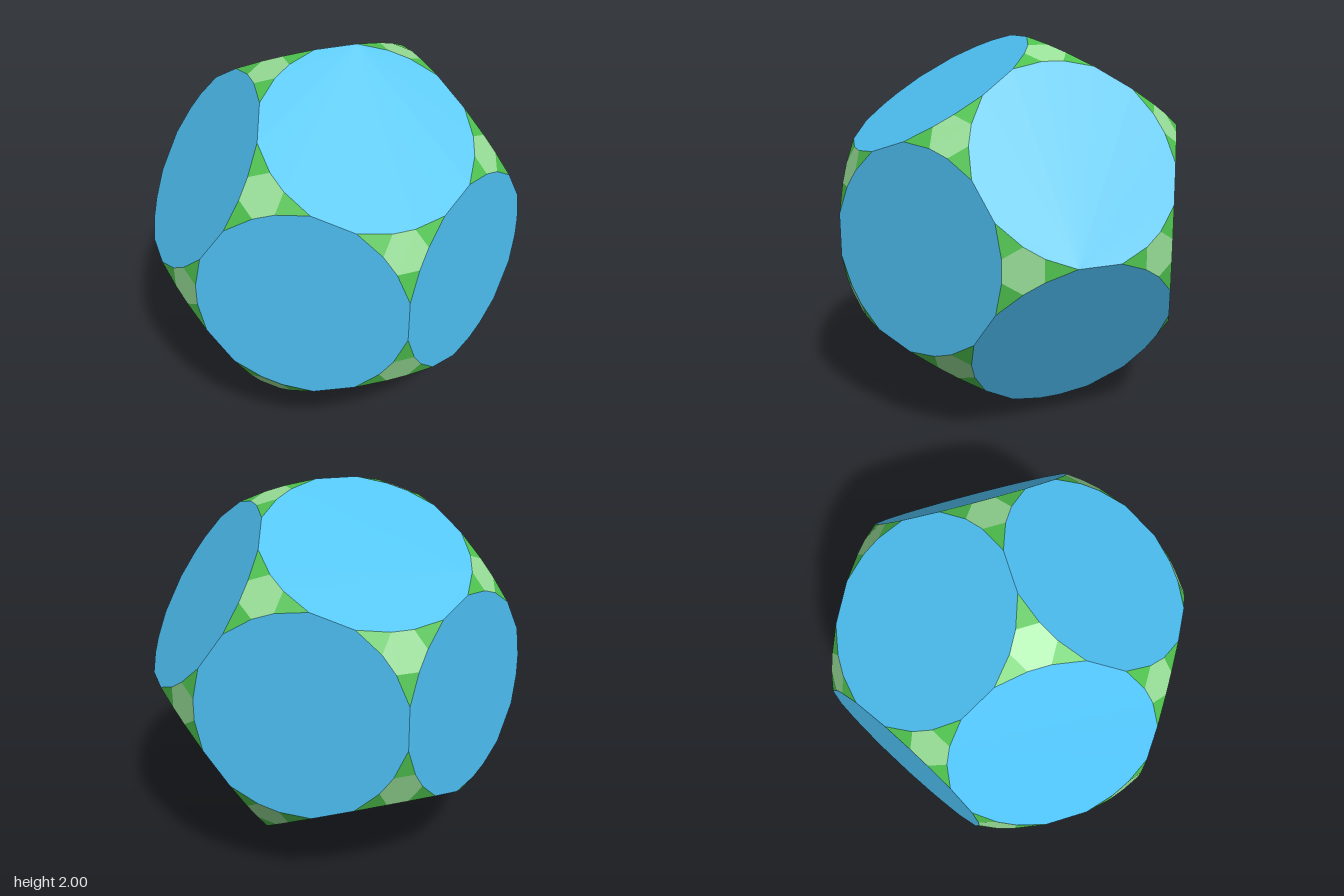
import * as THREE from 'three';

const PHI = (1 + Math.sqrt(5)) / 2;
const PLANE = PHI / Math.sqrt(1 + PHI * PHI); // distance of the large faces from the centre
const EDGE_HALF = 0.112;                      // half the edge shared by two large faces
const HEX_SIDE = 0.1132;
const HEX_APOTHEM = HEX_SIDE * Math.sqrt(3) / 2;

// All sign changes and cyclic permutations of (0, a, b), as unit vectors
function cyclic(a, b) {
  const out = [];
  for (const s of [1, -1]) for (const t of [1, -1]) {
    const p = [0, a * s, b * t];
    for (let k = 0; k < 3; k++) {
      out.push(new THREE.Vector3(p[k], p[(k + 1) % 3], p[(k + 2) % 3]).normalize());
    }
  }
  return out;
}

// Adds a convex polygon as a fan, ordered counter-clockwise about its outward normal
function addPolygon(target, points, normal) {
  const centre = new THREE.Vector3();
  points.forEach(p => centre.addScaledVector(p, 1 / points.length));
  const u = points[0].clone().sub(centre).projectOnPlane(normal).normalize();
  const w = normal.clone().cross(u);
  const angle = p => {
    const d = p.clone().sub(centre);
    return Math.atan2(d.dot(w), d.dot(u));
  };
  const ring = points.map(p => ({ p, a: angle(p) })).sort((i, j) => i.a - j.a).map(o => o.p);
  for (let i = 1; i < ring.length - 1; i++) {
    for (const p of [ring[0], ring[i], ring[i + 1]]) target.push(p.x, p.y + 1, p.z);
  }
}

function makeMesh(name, positions, color) {
  const geometry = new THREE.BufferGeometry();
  geometry.setAttribute('position', new THREE.Float32BufferAttribute(positions, 3));
  geometry.computeVertexNormals();
  const mesh = new THREE.Mesh(geometry, new THREE.MeshStandardMaterial({ color, flatShading: true }));
  mesh.name = name;
  return mesh;
}

export function createModel() {
  const faceNormals = cyclic(PHI, 1);
  const corners = cyclic(1 / PHI, PHI);
  for (const x of [1, -1]) for (const y of [1, -1]) for (const z of [1, -1]) {
    corners.push(new THREE.Vector3(x, y, z).normalize());
  }

  const large = [], hexagons = [], triangles = [];
  const vertices = [];

  for (const v of corners) {
    // The three large faces meeting at this corner
    const near = [...faceNormals].sort((a, b) => b.dot(v) - a.dot(v)).slice(0, 3);
    const hexPoints = [];
    near.forEach((n, i) => {
      const r = n.clone().projectOnPlane(v).normalize();
      const side = v.clone().cross(r);
      const depth = (PLANE - HEX_APOTHEM * n.dot(r)) / n.dot(v);
      const hexSide = sign => [1, -1].map(s => v.clone().multiplyScalar(depth)
        .addScaledVector(r, sign * HEX_APOTHEM).addScaledVector(side, s * HEX_SIDE / 2));
      hexPoints.push(...hexSide(1));

      // Tip of the triangle: the end of the edge between the other two faces
      const [a, b] = near.filter((_, j) => j !== i);
      const tip = a.clone().add(b).normalize();
      const along = v.clone().projectOnPlane(tip).normalize();
      tip.addScaledVector(along, EDGE_HALF);
      addPolygon(triangles, [tip, ...hexSide(-1)], v);
      vertices.push(tip);
    });
    vertices.push(...hexPoints);
    addPolygon(hexagons, hexPoints, v);
  }

  // Twenty-sided faces gather every vertex lying in their plane
  for (const n of faceNormals) {
    addPolygon(large, vertices.filter(p => Math.abs(p.dot(n) - PLANE) < 1e-4), n);
  }

  const model = new THREE.Group();
  model.name = 'polyhedron';
  model.add(
    makeMesh('largeFaces', large, 0x4fc3f7),
    makeMesh('hexagonFaces', hexagons, 0x98df98),
    makeMesh('triangleFaces', triangles, 0x4fc34f)
  );
  return model;
}
